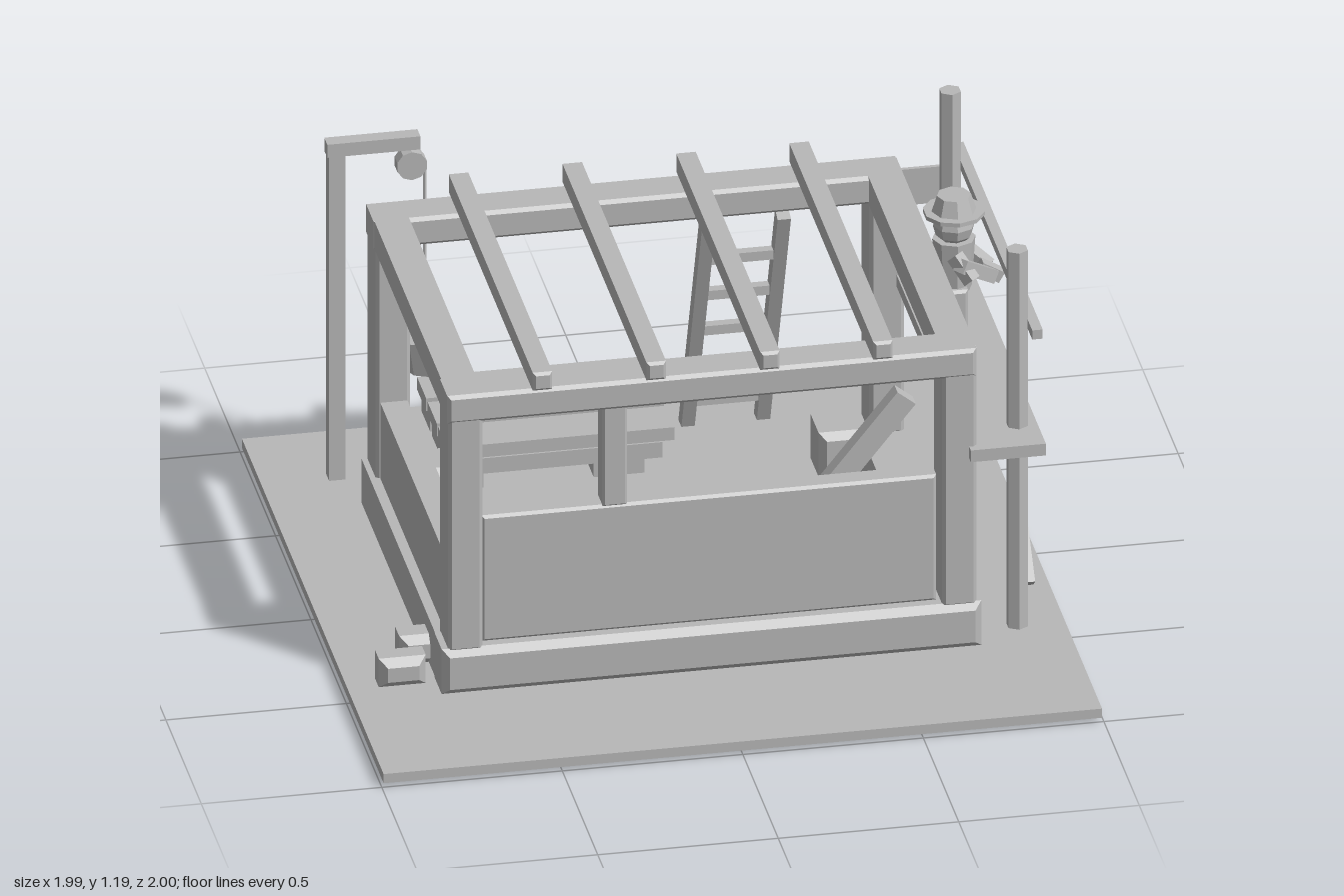
import * as THREE from 'three';

const V = (x, y, z) => new THREE.Vector3(x, y, z);

export function createModel() {
  const model = new THREE.Group();
  model.name = 'houseUnderConstruction';
  const grey = new THREE.MeshStandardMaterial({ color: 0xb8b8b8, flatShading: true });
  grey.name = 'plainGrey';

  function add(name, geometry, x = 0, y = 0, z = 0, parent = model) {
    const m = new THREE.Mesh(geometry, grey);
    m.name = name;
    m.position.set(x, y, z);
    parent.add(m);
    return m;
  }

  // Box given by its limits on each axis
  function box(name, x0, x1, y0, y1, z0, z1, parent = model) {
    return add(name, new THREE.BoxGeometry(x1 - x0, y1 - y0, z1 - z0),
      (x0 + x1) / 2, (y0 + y1) / 2, (z0 + z1) / 2, parent);
  }

  // Box with chamfered edges
  function chamfer(name, x0, x1, y0, y1, z0, z1, c = 0.012, parent = model) {
    const w = (x1 - x0) / 2 - c, h = (y1 - y0) / 2 - c, d = z1 - z0 - 2 * c;
    const s = new THREE.Shape([[-w, -h], [w, -h], [w, h], [-w, h]].map(p => new THREE.Vector2(...p)));
    const g = new THREE.ExtrudeGeometry(s, {
      depth: d, bevelEnabled: true, bevelSize: c, bevelThickness: c, bevelSegments: 1
    });
    g.translate(0, 0, -d / 2);
    return add(name, g, (x0 + x1) / 2, (y0 + y1) / 2, (z0 + z1) / 2, parent);
  }

  // Square bar between two points
  function bar(name, a, b, w, d, parent = model) {
    const m = add(name, new THREE.BoxGeometry(w, d, a.distanceTo(b)), 0, 0, 0, parent);
    m.position.copy(a).add(b).multiplyScalar(0.5);
    m.lookAt(b.clone().add(parent.position));
    return m;
  }

  function cyl(name, rTop, rBottom, y0, y1, x, z, sides, parent = model) {
    return add(name, new THREE.CylinderGeometry(rTop, rBottom, y1 - y0, sides), x, (y0 + y1) / 2, z, parent);
  }

  // Ground slab
  box('ground', -0.995, 0.995, 0.015, 0.043, -1, 1);

  // Foundation sills, with a doorway gap at the back
  chamfer('frontSill', -0.75, 0.745, 0.043, 0.18, 0.45, 0.59, 0.02);
  for (const s of [-1, 1]) {
    chamfer('sideSill', s * 0.68 - 0.068, s * 0.68 + 0.062, 0.043, 0.178, -0.59, 0.58, 0.02);
  }
  chamfer('backSillStub', -0.67, -0.52, 0.043, 0.178, -0.61, -0.46, 0.02);
  chamfer('backSillStub', 0.5, 0.66, 0.043, 0.178, -0.61, -0.46, 0.02);

  // Corner posts and top beams
  for (const s of [-1, 1]) {
    for (const t of [-1, 1]) {
      chamfer('cornerPost', s * 0.684 - 0.048, s * 0.684 + 0.048, 0.17, 0.955,
        t * 0.512 - 0.065, t * 0.512 + 0.065, 0.01);
    }
    chamfer('sideBeam', s * 0.684 - 0.048, s * 0.684 + 0.048, 0.872, 0.957, -0.57, 0.57, 0.01);
    chamfer('crossBeam', -0.735, 0.73, 0.872, 0.957, s * 0.522 - 0.06, s * 0.522 + 0.06, 0.01);
  }

  // Rafters
  for (const x of [-0.475, -0.16, 0.155, 0.468]) {
    chamfer('rafter', x - 0.027, x + 0.027, 0.96, 1.015, -0.6, 0.6, 0.008);
  }

  // Front wall with a window upright and a diagonal brace
  chamfer('frontWall', -0.635, 0.625, 0.18, 0.565, 0.48, 0.55, 0.008);
  chamfer('windowUpright', -0.3, -0.232, 0.56, 0.875, 0.48, 0.55, 0.006);
  bar('wallBrace', V(0.19, 0.32, 0.462), V(0.555, 0.775, 0.462), 0.045, 0.065);

  // Low side wall
  box('sideWall', -0.72, -0.645, 0.175, 0.41, -0.45, 0.45);

  // Scaffold
  const scaffold = new THREE.Group();
  scaffold.name = 'scaffold';
  model.add(scaffold);
  for (const s of [-1, 1]) {
    cyl('scaffoldPost', 0.031, 0.031, 0.04, 1.197, 0.863, s * 0.473, 6, scaffold);
    bar('scaffoldBrace', V(0.905, 0.14, s * 0.425), V(0.905, 0.58, s * 0.055), 0.03, 0.036, scaffold);
  }
  box('platform', 0.71, 0.918, 0.622, 0.658, -0.6, 0.6, scaffold);
  box('guardRail', 0.888, 0.917, 0.96, 0.988, -0.56, 0.56, scaffold);
  box('bracket', 0.73, 0.85, 0.83, 0.94, -0.532, -0.52, scaffold);

  // Builder on the platform, looking outward
  const builder = new THREE.Group();
  builder.name = 'builder';
  builder.position.set(0.81, 0.658, -0.15);
  model.add(builder);
  for (const s of [-1, 1]) {
    chamfer('leg', -0.028, 0.028, 0, 0.125, s * 0.04 - 0.024, s * 0.04 + 0.024, 0.008, builder);
    bar('upperArm', V(-0.01, 0.235, s * 0.065), V(0.03, 0.175, s * 0.105), 0.035, 0.035, builder);
    bar('forearm', V(0.0, 0.22, s * 0.095), V(0.1, 0.145, s * 0.025), 0.038, 0.038, builder);
  }
  cyl('torso', 0.06, 0.05, 0.11, 0.26, 0, 0, 8, builder);
  add('head', new THREE.SphereGeometry(0.058, 8, 6), 0, 0.3, 0, builder);
  cyl('hatBrim', 0.085, 0.085, 0.332, 0.344, 0, 0, 10, builder);
  cyl('hatCrown', 0.047, 0.062, 0.344, 0.39, 0, 0, 8, builder);
  bar('tool', V(0.07, 0.165, 0), V(0.13, 0.13, 0), 0.035, 0.035, builder);

  // Ladder leaning on the back beam
  const ladder = new THREE.Group();
  ladder.name = 'ladder';
  model.add(ladder);
  for (const x of [0.209, 0.418]) {
    bar('ladderRail', V(x, 0.01, -0.872), V(x, 0.815, -0.563), 0.037, 0.04, ladder);
  }
  for (let i = 0; i < 5; i++) {
    const y = 0.13 + i * 0.135;
    box('rung', 0.21, 0.418, y - 0.014, y + 0.014, -0.89 + y * 0.384, -0.862 + y * 0.384, ladder);
  }

  // Hoist with pulley, rope and bucket
  const hoist = new THREE.Group();
  hoist.name = 'hoist';
  model.add(hoist);
  box('hoistPost', -0.81, -0.765, 0.04, 1.055, -0.755, -0.712, hoist);
  box('hoistArm', -0.815, -0.557, 1.035, 1.075, -0.755, -0.712, hoist);
  const pulley = cyl('pulley', 0.043, 0.043, 0.965, 1.005, -0.58, -0.733, 10, hoist);
  pulley.rotation.x = Math.PI / 2;
  cyl('rope', 0.005, 0.005, 0.42, 0.99, -0.541, -0.735, 6, hoist);
  cyl('bucket', 0.075, 0.052, 0.35, 0.455, -0.541, -0.735, 8, hoist);

  // Stack of planks on bearers
  const stack = new THREE.Group();
  stack.name = 'plankStack';
  model.add(stack);
  for (const x of [-0.475, -0.03]) box('bearer', x - 0.07, x + 0.07, 0.043, 0.098, -0.99, -0.595, stack);
  for (const z of [-0.63, -0.755, -0.9]) box('lowerPlank', -0.505, 0.085, 0.098, 0.145, z - 0.06, z + 0.06, stack);
  for (const z of [-0.935, -0.785, -0.64]) box('upperPlank', -0.51, 0.12, 0.145, 0.184, z - 0.064, z + 0.064, stack);

  // Stone blocks
  chamfer('stone', -0.91, -0.78, 0.043, 0.13, 0.425, 0.52, 0.022);
  chamfer('stone', -0.83, -0.72, 0.043, 0.13, 0.3, 0.4, 0.022);

  return model;
}
